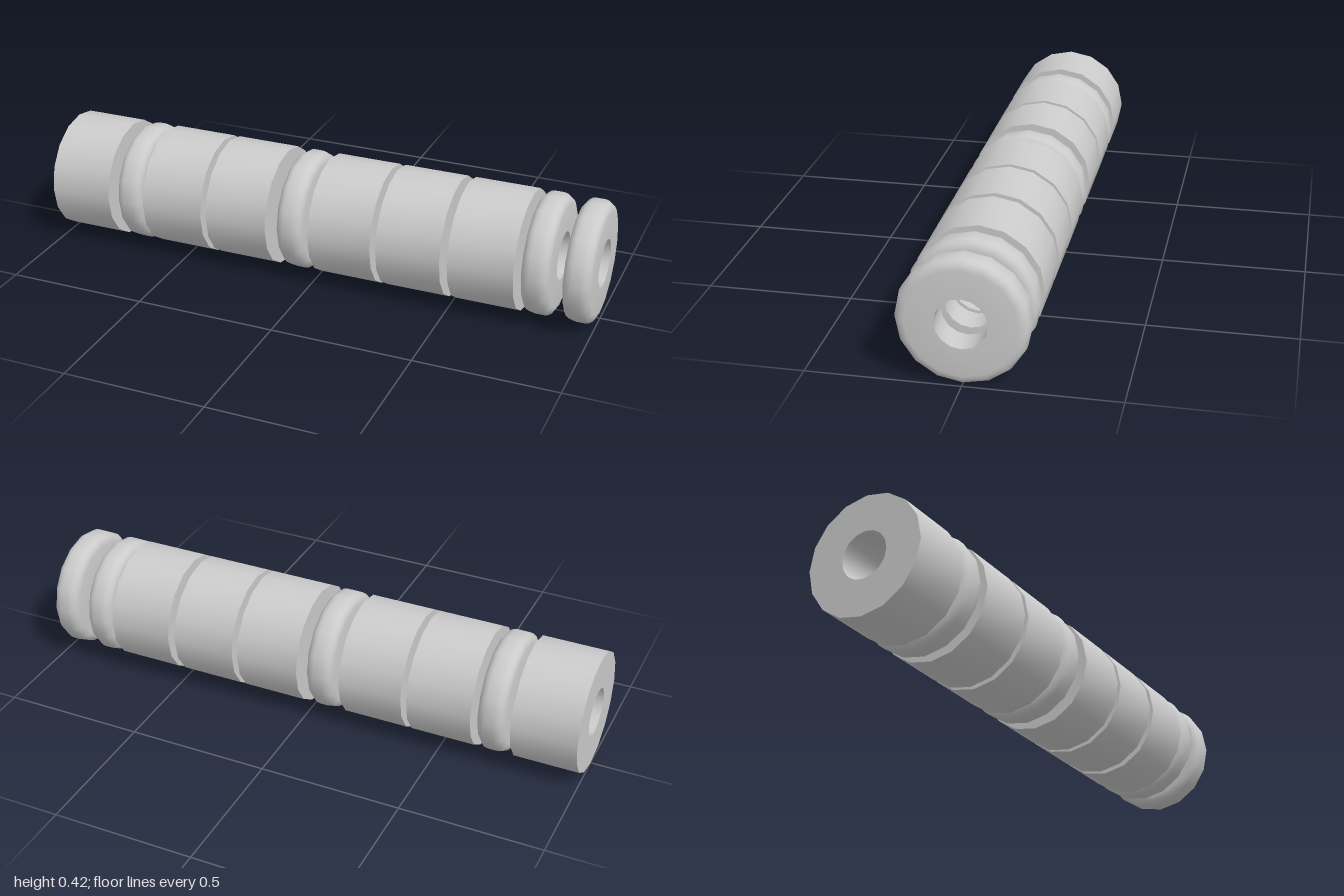
import * as THREE from 'three';
import { toCreasedNormals } from 'three/addons/utils/BufferGeometryUtils.js';

const R = 0.212, HOLE = 0.084, SIDES = 16;

// Bored drum along x; bevel rounds its two outer rims
function drum(width, bevel) {
  const h = width / 2, pts = [new THREE.Vector2(HOLE, -h)];
  if (bevel) {
    for (const s of [-1, 1]) {
      for (let i = 0; i <= 4; i++) {
        const a = (s < 0 ? i - 4 : i) * Math.PI / 8;
        pts.push(new THREE.Vector2(R - bevel + bevel * Math.cos(a), s * (h - bevel) + bevel * Math.sin(a)));
      }
    }
  } else {
    pts.push(new THREE.Vector2(R, -h), new THREE.Vector2(R, h));
  }
  pts.push(new THREE.Vector2(HOLE, h), new THREE.Vector2(HOLE, -h));
  const geo = new THREE.LatheGeometry(pts, SIDES).rotateZ(-Math.PI / 2);
  return toCreasedNormals(geo, 0.6);
}

export function createModel() {
  const group = new THREE.Group();
  const mat = new THREE.MeshStandardMaterial({ color: 0xcccccc });
  const longGeo = drum(0.229, 0);
  const shortGeo = drum(0.096, 0.033);

  const place = (geo, name, centres) => centres.forEach((x, i) => {
    const mesh = new THREE.Mesh(geo, mat);
    mesh.name = name + (i + 1);
    mesh.position.set(x, R, 0);
    group.add(mesh);
  });

  // Long straight sleeves and short rounded spacer rings on one axis
  place(longGeo, 'sleeve', [-0.8855, -0.516, -0.266, 0.124, 0.374, 0.63]);
  place(shortGeo, 'spacerRing', [-0.695, -0.069, 0.811, 0.952]);
  return group;
}
